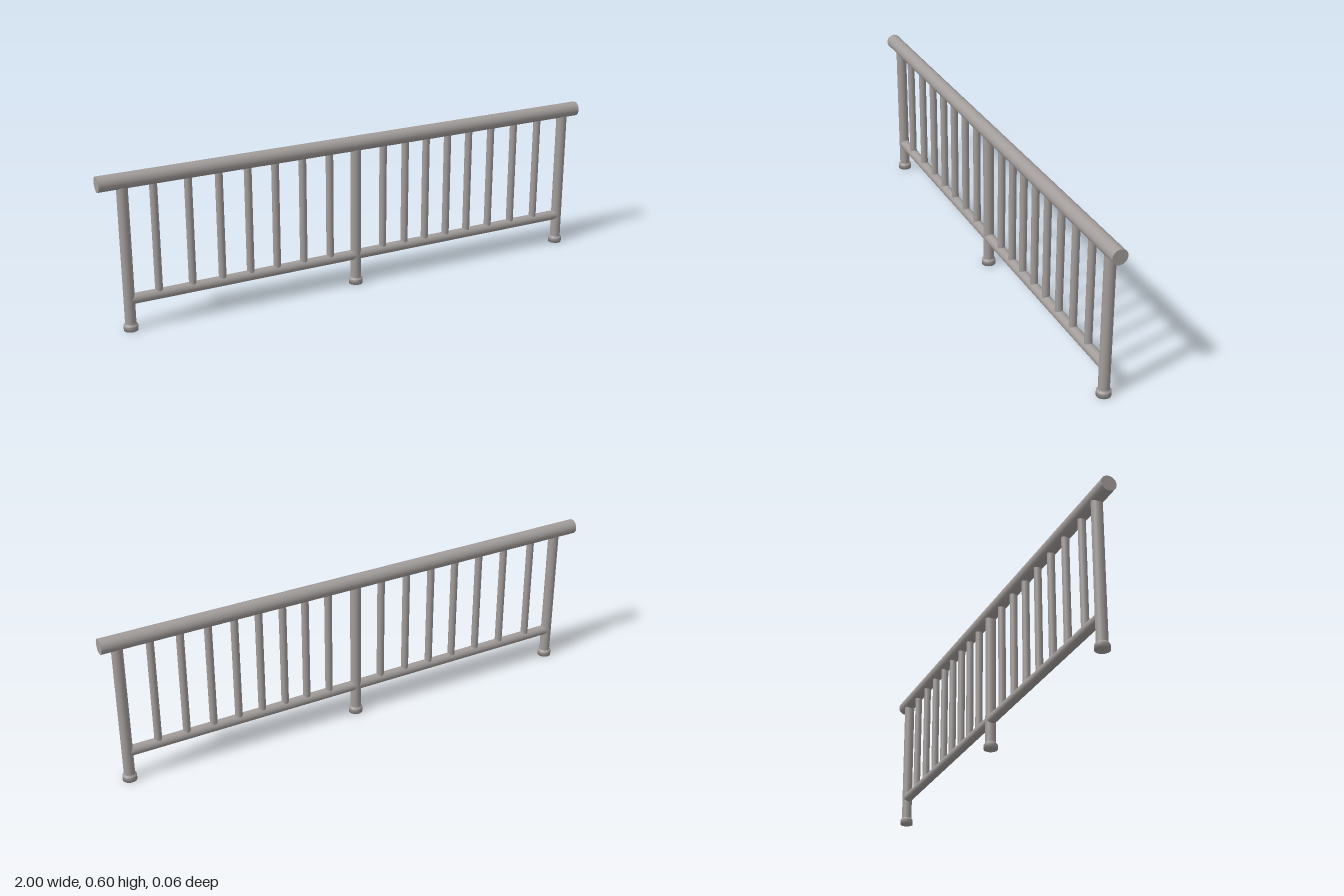
import * as THREE from 'three';

const material = new THREE.MeshStandardMaterial({ color: 0xa29d9b });
const RAIL_Y = 0.569, LOWER_Y = 0.119;

function addMesh(parent, name, geometry, x, y) {
  const mesh = new THREE.Mesh(geometry, material);
  mesh.name = name;
  mesh.position.set(x, y, 0);
  parent.add(mesh);
}

// Upright round bar between two heights
function upright(parent, name, radius, x, y0, y1) {
  addMesh(parent, name, new THREE.CylinderGeometry(radius, radius, y1 - y0, 32), x, (y0 + y1) / 2);
}

// Horizontal round bar along x
function bar(parent, name, radius, x0, x1, y) {
  const geometry = new THREE.CylinderGeometry(radius, radius, x1 - x0, 40).rotateZ(Math.PI / 2);
  addMesh(parent, name, geometry, (x0 + x1) / 2, y);
}

export function createModel() {
  const railing = new THREE.Group();
  railing.name = 'railing';

  // Handrail and lower rail
  bar(railing, 'handrail', 0.0285, -1, 1, RAIL_Y);
  bar(railing, 'lowerRail', 0.0195, -0.91, 0.938, LOWER_Y);

  // Foot: a collar with a softened shoulder
  const footProfile = [[0, 0], [0.0265, 0], [0.0265, 0.018], [0.0255, 0.0205], [0.022, 0.0235], [0.0205, 0.027]]
    .map(([r, y]) => new THREE.Vector2(r, y));

  // Posts
  for (const x of [-0.91, 0, 0.938]) {
    const post = new THREE.Group();
    post.name = 'post';
    upright(post, 'postShaft', 0.0205, 0, 0.01, RAIL_Y - 0.015);
    addMesh(post, 'foot', new THREE.LatheGeometry(footProfile, 32), 0, 0);
    post.position.x = x;
    railing.add(post);
  }

  // Balusters, spaced slightly unevenly
  const balusterX = [
    -0.797, -0.668, -0.551, -0.439, -0.331, -0.221, -0.11,
    0.117, 0.213, 0.305, 0.401, 0.497, 0.599, 0.706, 0.818,
  ];
  for (const x of balusterX) upright(railing, 'baluster', 0.0142, x, LOWER_Y, RAIL_Y - 0.01);

  return railing;
}
